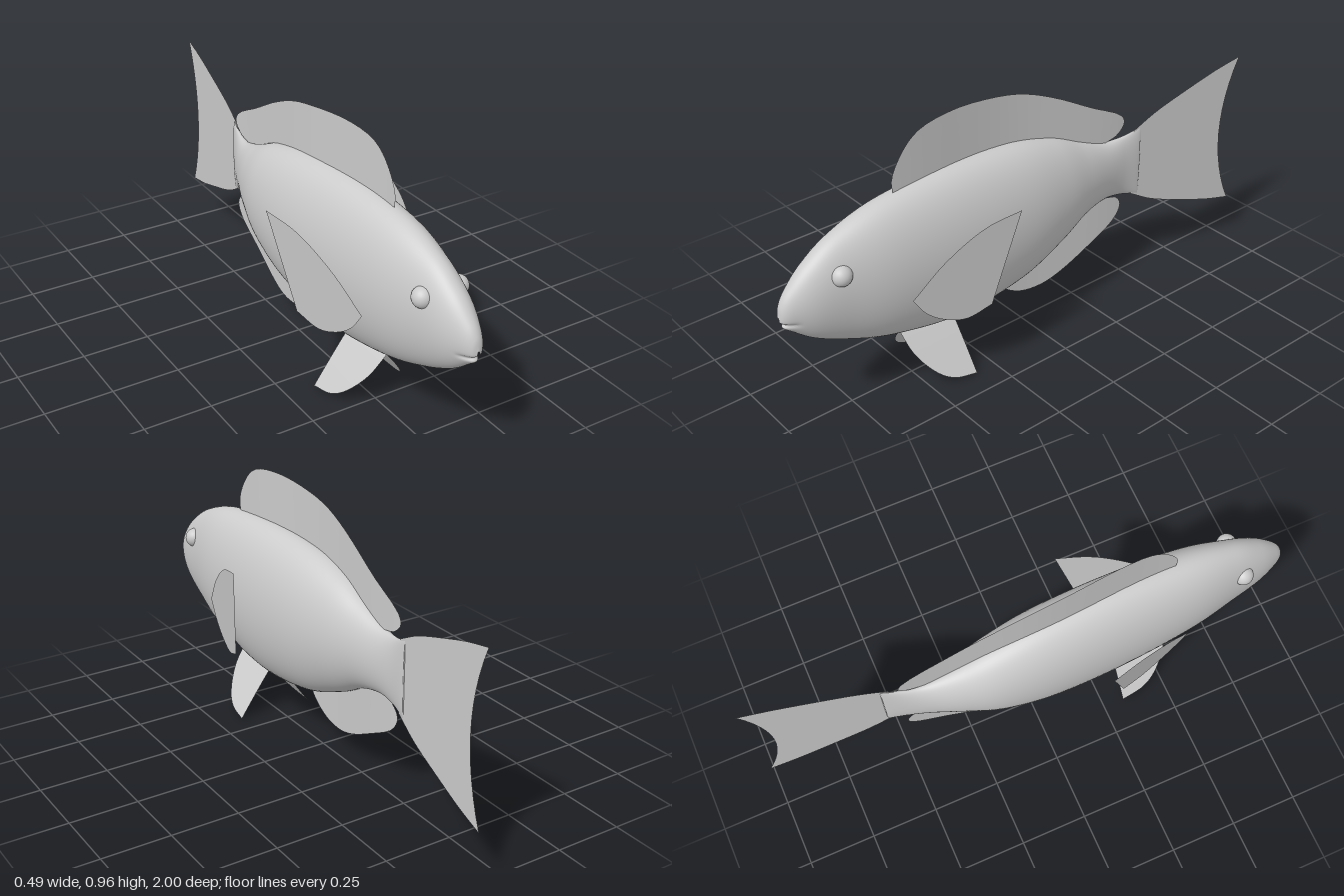
import * as THREE from 'three';

const bodyMat = new THREE.MeshStandardMaterial({ color: 0xcccccc });
const finMat = new THREE.MeshStandardMaterial({ color: 0xcccccc, side: THREE.DoubleSide });

// Body stations from nose to tail root: z, top y, bottom y, centre x, half width
const STATIONS = [
  [1.0, 0.472, 0.452, 0.017, 0.004],
  [0.99, 0.515, 0.43, 0.017, 0.022],
  [0.96, 0.56, 0.405, 0.017, 0.041],
  [0.89, 0.627, 0.35, 0.017, 0.068],
  [0.78, 0.694, 0.293, 0.016, 0.09],
  [0.6, 0.747, 0.228, 0.015, 0.122],
  [0.32, 0.766, 0.18, 0.011, 0.139],
  [0.05, 0.751, 0.206, 0.003, 0.14],
  [-0.14, 0.708, 0.275, -0.003, 0.119],
  [-0.27, 0.652, 0.343, 0.0, 0.085],
  [-0.38, 0.612, 0.373, 0.01, 0.05],
  [-0.46, 0.612, 0.37, 0.022, 0.027],
  [-0.53, 0.632, 0.355, 0.038, 0.01],
  [-0.54, 0.632, 0.355, 0.04, 0.001],
];

// Triangulates a rows x cols grid of vertices
function gridGeometry(positions, rows, cols, closed) {
  const index = [];
  const last = closed ? cols : cols - 1;
  for (let i = 0; i < rows - 1; i++) {
    for (let j = 0; j < last; j++) {
      const k = (j + 1) % cols;
      const a = i * cols + j, b = i * cols + k;
      const c = a + cols, d = b + cols;
      index.push(a, c, b, b, c, d);
    }
  }
  const geo = new THREE.BufferGeometry();
  geo.setAttribute('position', new THREE.Float32BufferAttribute(positions, 3));
  geo.setIndex(index);
  geo.computeVertexNormals();
  return geo;
}

// Elliptical loft with a shallow mouth crease at the nose
function bodyGeometry() {
  const spline = (f) => new THREE.CatmullRomCurve3(STATIONS.map(f), false, 'catmullrom', 0.5);
  const heights = spline((s) => new THREE.Vector3(s[0], s[1], s[2]));
  const widths = spline((s) => new THREE.Vector3(s[0], s[3], s[4]));
  const rows = 118, cols = 72, pos = [];
  for (let i = 0; i < rows; i++) {
    const t = i / (rows - 1);
    const { x: z, y: top, z: bottom } = heights.getPoint(t);
    const { y: cx, z: hw } = widths.getPoint(t);
    for (let j = 0; j < cols; j++) {
      const a = (j / cols) * Math.PI * 2;
      const y = (top + bottom) / 2 + ((top - bottom) / 2) * Math.sin(a);
      const nose = THREE.MathUtils.smoothstep(z, 0.93, 0.98);
      const crease = 0.014 * nose * Math.exp(-(((y - 0.443) / 0.008) ** 2));
      pos.push(cx + hw * Math.cos(a), y, z - crease);
    }
  }
  return gridGeometry(pos, rows, cols, true);
}

// Thin fin spanned between two (z, y) edge curves; xAt bends it sideways
function fin(name, edgeA, edgeB, xAt, notch = 0) {
  const curve = (pts) => new THREE.CatmullRomCurve3(pts.map(([z, y]) => new THREE.Vector3(0, y, z)));
  const a = curve(edgeA), b = curve(edgeB);
  const rows = 41, cols = 13, pos = [];
  for (let i = 0; i < rows; i++) {
    const t = i / (rows - 1);
    const p = a.getPoint(t), q = b.getPoint(t);
    for (let j = 0; j < cols; j++) {
      const s = j / (cols - 1);
      const v = p.clone().lerp(q, s);
      const z = v.z + notch * t * t * 4 * s * (1 - s);
      pos.push(xAt(z, v.y), v.y, z);
    }
  }
  const mesh = new THREE.Mesh(gridGeometry(pos, rows, cols, false), finMat);
  mesh.name = name;
  return mesh;
}

export function createModel() {
  const group = new THREE.Group();
  group.name = 'fish';

  const body = new THREE.Mesh(bodyGeometry(), bodyMat);
  body.name = 'body';
  group.add(body);

  // Dorsal and anal fins share a gentle sideways wave
  const wave = (z) => 0.003 + 0.013 * Math.cos(((z + 0.45) * Math.PI) / 0.5);
  group.add(fin('dorsalFin',
    [[0.54, 0.74], [0.32, 0.74], [0.05, 0.72], [-0.14, 0.68], [-0.27, 0.63], [-0.38, 0.605]],
    [[0.545, 0.74], [0.55, 0.8], [0.5, 0.89], [0.435, 0.94], [0.3, 0.96], [0.11, 0.943], [-0.02, 0.915],
      [-0.155, 0.86], [-0.315, 0.775], [-0.465, 0.695], [-0.48, 0.66], [-0.445, 0.623], [-0.38, 0.608]],
    wave));
  group.add(fin('analFin',
    [[0.1, 0.21], [0, 0.23], [-0.14, 0.29], [-0.27, 0.36], [-0.37, 0.38]],
    [[0.1, 0.195], [0.06, 0.15], [-0.01, 0.113], [-0.1, 0.105], [-0.18, 0.125], [-0.315, 0.19],
      [-0.45, 0.27], [-0.475, 0.32], [-0.45, 0.358], [-0.37, 0.377]],
    wave));

  // Tail fin with a concave rear edge, swung to one side
  group.add(fin('tailFin',
    [[-0.51, 0.628], [-0.61, 0.678], [-0.77, 0.735], [-0.89, 0.773], [-1, 0.8]],
    [[-0.51, 0.36], [-0.61, 0.305], [-0.77, 0.248], [-0.89, 0.21], [-1, 0.185]],
    (z) => 0.04 + 0.108 * (-z - 0.53), 0.07));

  // Paired fins and eyes
  for (const side of [1, -1]) {
    const label = side > 0 ? 'left' : 'right';
    const [a, b, c] = side > 0 ? [0.235, -0.225, 0.083] : [0.237, -0.286, 0.104];
    group.add(fin(label + 'PectoralFin',
      [[0.575, 0.41], [0.46, 0.535], [0.325, 0.627], [0.2, 0.66]],
      [[0.575, 0.41], [0.525, 0.34], [0.46, 0.293], [0.38, 0.27], [0.29, 0.3]],
      (z, y) => side * (a + b * z + c * y)));
    group.add(fin(label + 'PelvicFin',
      [[0.55, 0.215], [0.44, 0.205], [0.33, 0.2]],
      [[0.55, 0.215], [0.53, 0.13], [0.475, 0.055], [0.42, 0.02], [0.33, 0.003]],
      (z, y) => 0.008 + side * 0.15 * Math.pow(Math.max(0, (0.205 - y) / 0.205), 0.95)));

    const eye = new THREE.Mesh(new THREE.SphereGeometry(0.036, 24, 16), bodyMat);
    eye.name = label + 'Eye';
    eye.position.set(0.0165 + side * 0.067, 0.58, 0.8);
    group.add(eye);
  }
  return group;
}
